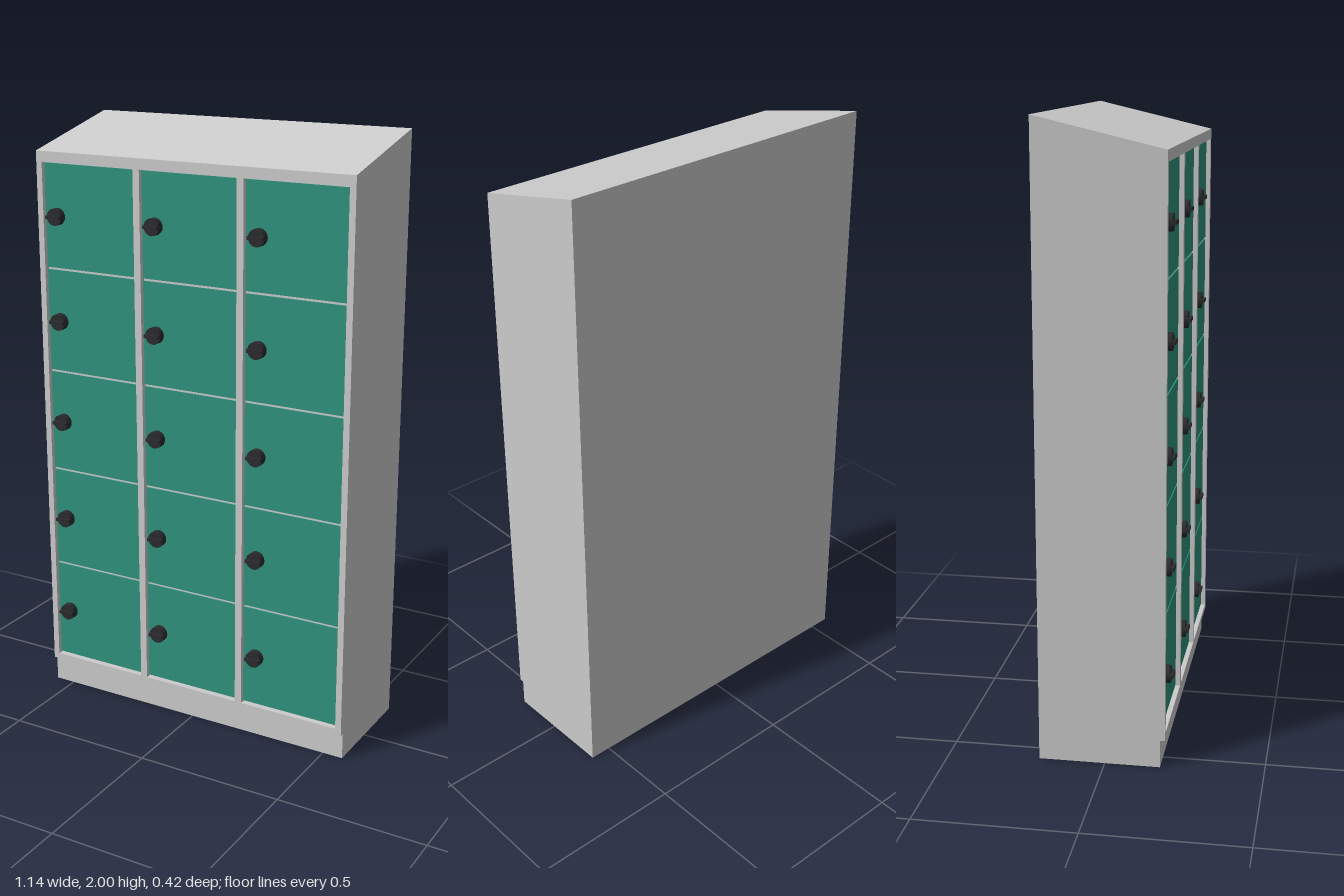
import * as THREE from 'three';

const HALF_WIDTH = 0.57;
const BACK = -0.21, FRONT = 0.19, RECESS = 0.17, DOOR_FRONT = 0.175;
const OPEN_BOTTOM = 0.11, OPEN_TOP = 1.87;
const COLUMNS = 3, ROWS = 5;
const DOOR_WIDTH = 0.35, COLUMN_PITCH = 0.374;
const ROW_PITCH = (OPEN_TOP - OPEN_BOTTOM) / ROWS, ROW_GAP = 0.008;

const grey = new THREE.MeshStandardMaterial({ color: 0xcccccc });
const green = new THREE.MeshStandardMaterial({ color: 0x2f927d });
const black = new THREE.MeshStandardMaterial({ color: 0x2b2b2e });

function add(parent, name, geometry, material, x = 0, y = 0, z = 0) {
  const mesh = new THREE.Mesh(geometry, material);
  mesh.name = name;
  mesh.position.set(x, y, z);
  parent.add(mesh);
  return mesh;
}

// Side profile (z, y): set-back plinth, recessed door field, sloping top
function carcassGeometry() {
  const profile = [
    [BACK, 0], [0.175, 0], [0.175, 0.09], [FRONT, 0.09], [FRONT, OPEN_BOTTOM],
    [RECESS, OPEN_BOTTOM], [RECESS, OPEN_TOP], [FRONT, OPEN_TOP], [FRONT, 1.905], [BACK, 2],
  ];
  const shape = new THREE.Shape(profile.map(([z, y]) => new THREE.Vector2(z, y)));
  const geometry = new THREE.ExtrudeGeometry(shape, { depth: 2 * HALF_WIDTH, bevelEnabled: false });
  return geometry.rotateY(-Math.PI / 2).translate(HALF_WIDTH, 0, 0);
}

// Round lock with a horizontal grip bar
function createLock() {
  const lock = new THREE.Group();
  lock.name = 'lock';
  const disc = new THREE.CylinderGeometry(0.028, 0.028, 0.024, 20).rotateX(Math.PI / 2);
  add(lock, 'lockDisc', disc, black, 0, 0, 0.012);
  add(lock, 'lockGrip', new THREE.BoxGeometry(0.053, 0.011, 0.014), black, 0, 0, 0.028);
  return lock;
}

export function createModel() {
  const model = new THREE.Group();
  model.name = 'lockerCabinet';
  add(model, 'carcass', carcassGeometry(), grey);

  // Upright frame bars between and beside the door columns
  const openHeight = OPEN_TOP - OPEN_BOTTOM;
  const midY = (OPEN_TOP + OPEN_BOTTOM) / 2;
  const edges = [-HALF_WIDTH];
  for (let c = 0; c < COLUMNS; c++) {
    const x = (c - 1) * COLUMN_PITCH;
    edges.push(x - DOOR_WIDTH / 2, x + DOOR_WIDTH / 2);
  }
  edges.push(HALF_WIDTH);
  for (let i = 0; i < edges.length; i += 2) {
    const bar = new THREE.BoxGeometry(edges[i + 1] - edges[i], openHeight, FRONT - RECESS);
    add(model, 'frameBar', bar, grey, (edges[i] + edges[i + 1]) / 2, midY, (FRONT + RECESS) / 2);
  }

  // Doors, each with its lock on the same side
  const depth = DOOR_FRONT - RECESS;
  const doorGeometry = new THREE.BoxGeometry(DOOR_WIDTH, ROW_PITCH - ROW_GAP, depth);
  for (let c = 0; c < COLUMNS; c++) {
    for (let r = 0; r < ROWS; r++) {
      const locker = new THREE.Group();
      locker.name = 'locker';
      locker.position.set((c - 1) * COLUMN_PITCH, OPEN_BOTTOM + (r + 0.5) * ROW_PITCH, DOOR_FRONT);
      add(locker, 'door', doorGeometry, green, 0, 0, -depth / 2);
      const lock = createLock();
      lock.position.x = -0.127;
      locker.add(lock);
      model.add(locker);
    }
  }
  return model;
}
